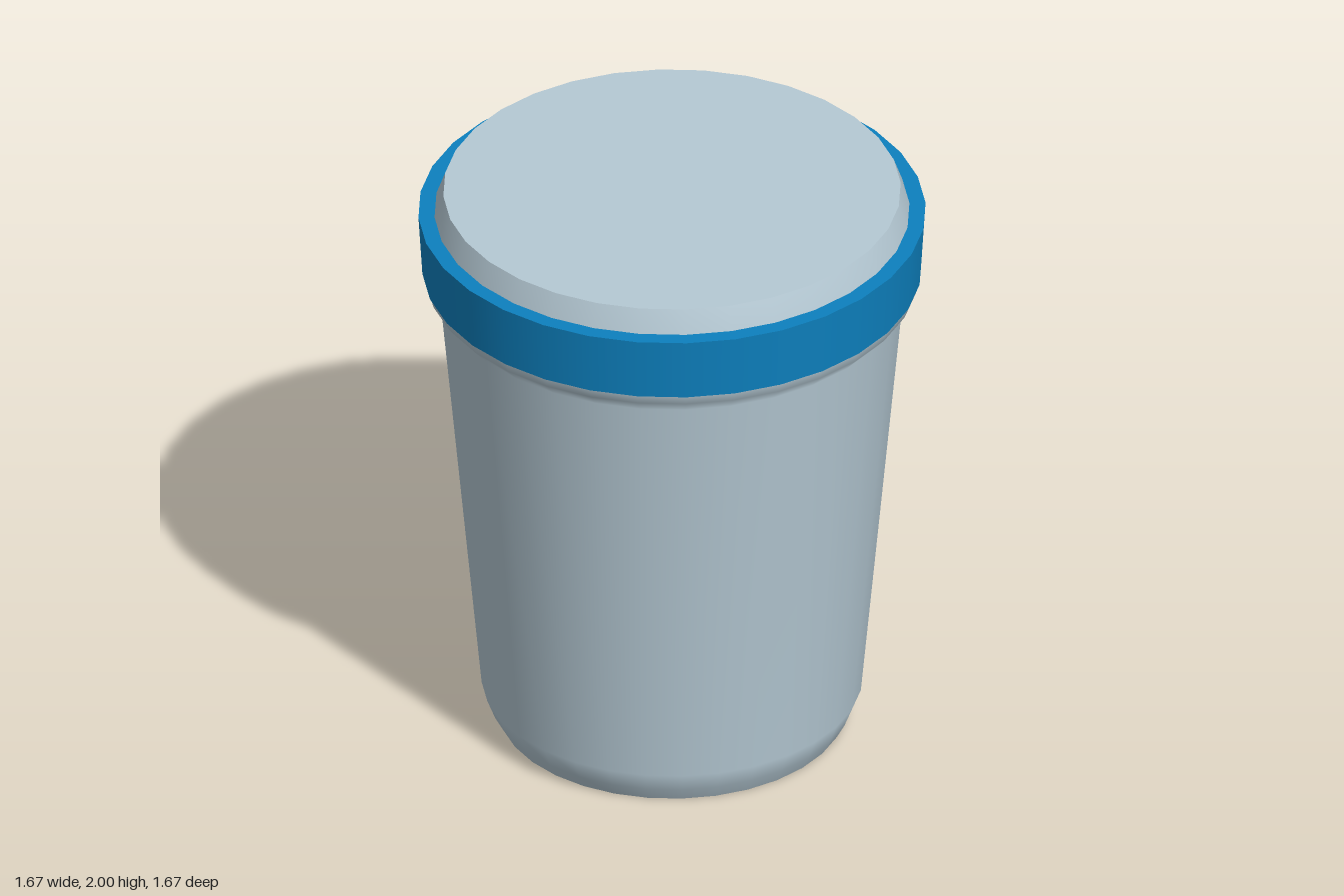
import * as THREE from 'three';

const SIDES = 32;

export function createModel() {
  const group = new THREE.Group();
  const cupGrey = new THREE.MeshStandardMaterial({ color: 0xb5c9d4, side: THREE.DoubleSide });
  cupGrey.name = 'pale blue grey';
  const bandBlue = new THREE.MeshStandardMaterial({ color: 0x0d80be, side: THREE.DoubleSide });
  bandBlue.name = 'blue';

  // Revolves [radius, height] points; each call is one smooth surface with sharp borders.
  const revolve = (name, points, material) => {
    const profile = points.map(([r, y]) => new THREE.Vector2(r, y));
    const mesh = new THREE.Mesh(new THREE.LatheGeometry(profile, SIDES), material);
    mesh.name = name;
    group.add(mesh);
  };

  // Tapered cup wall, open underneath, with a flared shoulder below the band
  revolve('cupWall', [[0.573, 0], [0.6, 0.05], [0.627, 0.12], [0.765, 1.62], [0.81, 1.67], [0.812, 1.71]], cupGrey);

  // Band around the rim
  revolve('bandUnderside', [[0.78, 1.703], [0.822, 1.703]], bandBlue);
  revolve('bandSide', [[0.822, 1.703], [0.835, 1.92]], bandBlue);
  revolve('bandTop', [[0.835, 1.92], [0.775, 1.92]], bandBlue);

  // Lid with a bevelled edge
  revolve('lidBevel', [[0.784, 1.9], [0.782, 1.92], [0.753, 2]], cupGrey);
  const lid = new THREE.Mesh(new THREE.CircleGeometry(0.753, SIDES), cupGrey);
  lid.name = 'lidTop';
  lid.rotation.x = -Math.PI / 2;
  lid.position.y = 2;
  group.add(lid);

  return group;
}
